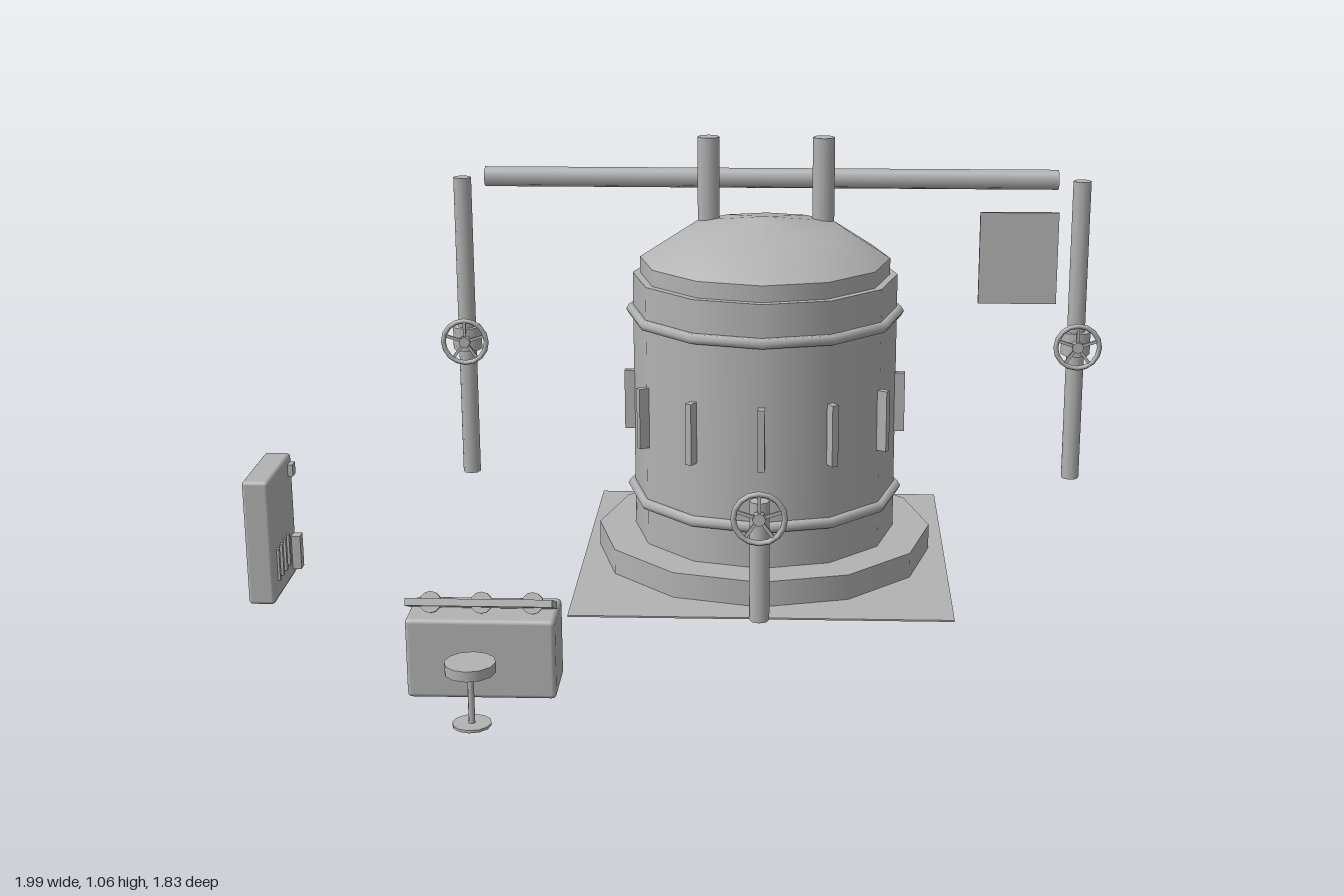
import * as THREE from 'three';
import { RoundedBoxGeometry } from 'three/addons/geometries/RoundedBoxGeometry.js';

const steel = new THREE.MeshStandardMaterial({ color: 0xb3b3b3 });
steel.name = 'grey steel';

function add(parent, name, geometry, x = 0, y = 0, z = 0) {
  const mesh = new THREE.Mesh(geometry, steel);
  mesh.name = name;
  mesh.position.set(x, y, z);
  parent.add(mesh);
  return mesh;
}

function group(parent, name, x = 0, y = 0, z = 0) {
  const g = new THREE.Group();
  g.name = name;
  g.position.set(x, y, z);
  parent.add(g);
  return g;
}

// Upright cylinder spanning y0 to y1
function upright(parent, name, r, y0, y1, x = 0, z = 0, sides = 8) {
  return add(parent, name, new THREE.CylinderGeometry(r, r, y1 - y0, sides), x, (y0 + y1) / 2, z);
}

// Handwheel facing +z, with a stem running back to its pipe
function handwheel(parent, x, y, z, stem) {
  const wheel = group(parent, 'handwheel', x, y, z);
  add(wheel, 'wheelRim', new THREE.TorusGeometry(0.061, 0.007, 6, 16));
  for (let i = 0; i < 5; i++) {
    const a = Math.PI / 2 + i * Math.PI * 2 / 5;
    const spoke = add(wheel, 'wheelSpoke', new THREE.BoxGeometry(0.06, 0.008, 0.007),
      Math.cos(a) * 0.031, Math.sin(a) * 0.031, 0);
    spoke.rotation.z = a;
  }
  add(wheel, 'wheelHub', new THREE.CylinderGeometry(0.016, 0.016, 0.022, 8)).rotation.x = Math.PI / 2;
  add(wheel, 'wheelStem', new THREE.CylinderGeometry(0.009, 0.009, stem, 8), 0, 0, -stem / 2).rotation.x = Math.PI / 2;
}

function buildTank(model) {
  const tank = group(model, 'tank', 0.06, 0, -0.25);
  upright(tank, 'tankFoot', 0.428, 0, 0.068, 0, 0, 12);
  upright(tank, 'tankBody', 0.334, 0.06, 0.735, 0, 0, 12);
  upright(tank, 'tankCollar', 0.315, 0.73, 0.776, 0, 0, 12);

  // Domed lid
  const profile = [[0.315, 0.776], [0.2, 0.85], [0, 0.88]].map(([r, y]) => new THREE.Vector2(r, y));
  add(tank, 'tankDome', new THREE.LatheGeometry(profile, 12));

  // Hoops round the body
  for (const y of [0.175, 0.64]) {
    add(tank, 'tankHoop', new THREE.TorusGeometry(0.338, 0.014, 6, 12), 0, y, 0).rotation.x = Math.PI / 2;
  }

  // Vertical ribs on each corner of the body
  for (let i = 0; i < 12; i++) {
    const a = i * Math.PI / 6;
    const rib = add(tank, 'tankRib', new THREE.BoxGeometry(0.017, 0.155, 0.05),
      Math.sin(a) * 0.333, 0.402, Math.cos(a) * 0.333);
    rib.rotation.y = a;
  }

  // Outlet pipes through the dome
  for (const x of [-0.146, 0.146]) upright(tank, 'outletPipe', 0.028, 0.8, 1.065, x, -0.098);
}

function buildPipework(model) {
  // Short valve post in front of the tank
  upright(model, 'frontPost', 0.024, 0, 0.3, 0.06, 0.248);
  handwheel(model, 0.06, 0.268, 0.285, 0.03);

  // Rear risers with valve collars
  for (const x of [-0.8, 0.925]) {
    upright(model, 'rearPipe', 0.025, 0, 0.862, x, -0.861);
    upright(model, 'valveCollar', 0.041, 0.367, 0.433, x, -0.861);
    handwheel(model, x, 0.4, -0.808, 0.04);
  }

  // Overhead pipe
  const over = add(model, 'overheadPipe', new THREE.CylinderGeometry(0.028, 0.028, 1.593, 8), 0.062, 0.865, -0.861);
  over.rotation.z = Math.PI / 2;
}

function buildConsole(model) {
  const desk = group(model, 'console', -0.535, 0, 0.655);
  add(desk, 'consoleBody', new RoundedBoxGeometry(0.327, 0.183, 0.143, 2, 0.01), 0, 0.0925, 0);

  // Tilted control plate with three dial fins
  const top = group(desk, 'controlPlate', 0, 0.208, 0.032);
  top.rotation.x = -0.42;
  add(top, 'plate', new THREE.BoxGeometry(0.32, 0.016, 0.095));
  for (const x of [-0.112, 0, 0.112]) {
    add(top, 'dial', new THREE.CylinderGeometry(0.024, 0.024, 0.008, 12), x, 0.002, 0).rotation.x = Math.PI / 2;
  }

  // Stool
  const stool = group(model, 'stool', -0.536, 0, 0.858);
  upright(stool, 'stoolSeat', 0.055, 0.122, 0.145, 0, 0, 12);
  upright(stool, 'stoolStem', 0.007, 0, 0.125, 0, 0, 8);
  upright(stool, 'stoolFoot', 0.042, 0, 0.006, 0, 0, 12);
}

function buildCabinet(model) {
  const cabinet = group(model, 'wallCabinet', -0.972, 0.401, 0.75);
  add(cabinet, 'cabinetBody', new RoundedBoxGeometry(0.056, 0.272, 0.205, 2, 0.008));
  // Row of slots, a lever box and a small lamp on the +x face
  for (let i = 0; i < 4; i++) {
    add(cabinet, 'cabinetSlot', new THREE.BoxGeometry(0.008, 0.07, 0.011), 0.029, -0.06, 0.06 - i * 0.03);
  }
  add(cabinet, 'cabinetLever', new THREE.BoxGeometry(0.024, 0.075, 0.024), 0.035, -0.08, -0.075);
  add(cabinet, 'cabinetLamp', new THREE.BoxGeometry(0.016, 0.026, 0.024), 0.031, 0.106, -0.078);
}

export function createModel() {
  const model = new THREE.Group();
  model.name = 'boilerRoom';

  add(model, 'floorPlate', new THREE.BoxGeometry(0.927, 0.004, 0.927), 0.063, 0.002, -0.217);
  buildTank(model);
  buildPipework(model);
  buildConsole(model);
  buildCabinet(model);

  // Notice board behind the tank
  add(model, 'noticeBoard', new THREE.BoxGeometry(0.22, 0.262, 0.012), 0.76, 0.632, -0.908);
  return model;
}
